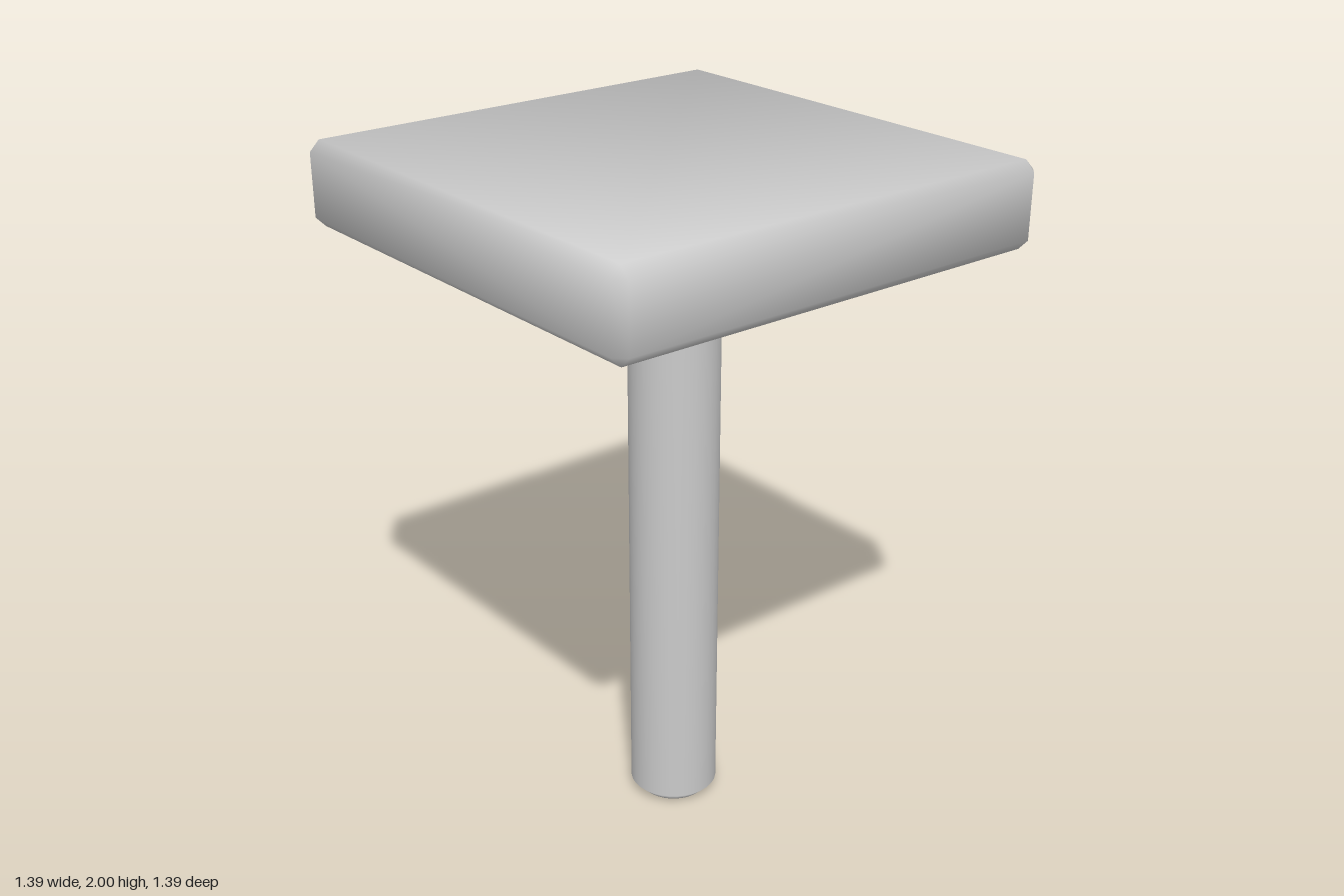
import * as THREE from 'three';
import { ConvexGeometry } from 'three/addons/geometries/ConvexGeometry.js';

// Box with every edge chamfered once and shaded smoothly across the chamfers
function chamferedBox(w, h, d, c) {
  const half = [w / 2, h / 2, d / 2];
  const points = [];
  for (const sx of [-1, 1]) for (const sy of [-1, 1]) for (const sz of [-1, 1]) {
    const sign = [sx, sy, sz];
    // each corner becomes three points, one on each adjoining face
    for (let face = 0; face < 3; face++) {
      points.push(new THREE.Vector3(...sign.map((s, i) => s * (half[i] - (i === face ? 0 : c)))));
    }
  }
  const geometry = new ConvexGeometry(points);
  const pos = geometry.attributes.position, normal = geometry.attributes.normal;
  const n = new THREE.Vector3();
  for (let i = 0; i < pos.count; i++) {
    const p = [pos.getX(i), pos.getY(i), pos.getZ(i)];
    // lean mostly along the face the point lies on, partly to its neighbours
    n.set(...p.map((v, k) => Math.sign(v) * (Math.abs(v) > half[k] - c / 2 ? 1 : 0.43))).normalize();
    normal.setXYZ(i, n.x, n.y, n.z);
  }
  return geometry;
}

export function createModel() {
  const group = new THREE.Group();
  const material = new THREE.MeshStandardMaterial({ color: 0xcccccc });

  // Square slab on top
  const slab = new THREE.Mesh(chamferedBox(1.394, 0.243, 1.394, 0.03), material);
  slab.name = 'topSlab';
  slab.position.y = 2 - 0.243 / 2;
  group.add(slab);

  // Round post, slightly off centre, with a chamfered foot
  const r = 0.131, c = 0.03;
  const profile = [[0, 0], [r - c, 0], [r, c], [r, 1.78]].map(([x, y]) => new THREE.Vector2(x, y));
  const post = new THREE.Mesh(new THREE.LatheGeometry(profile, 32), material);
  post.name = 'post';
  post.position.x = 0.038;
  group.add(post);

  return group;
}
